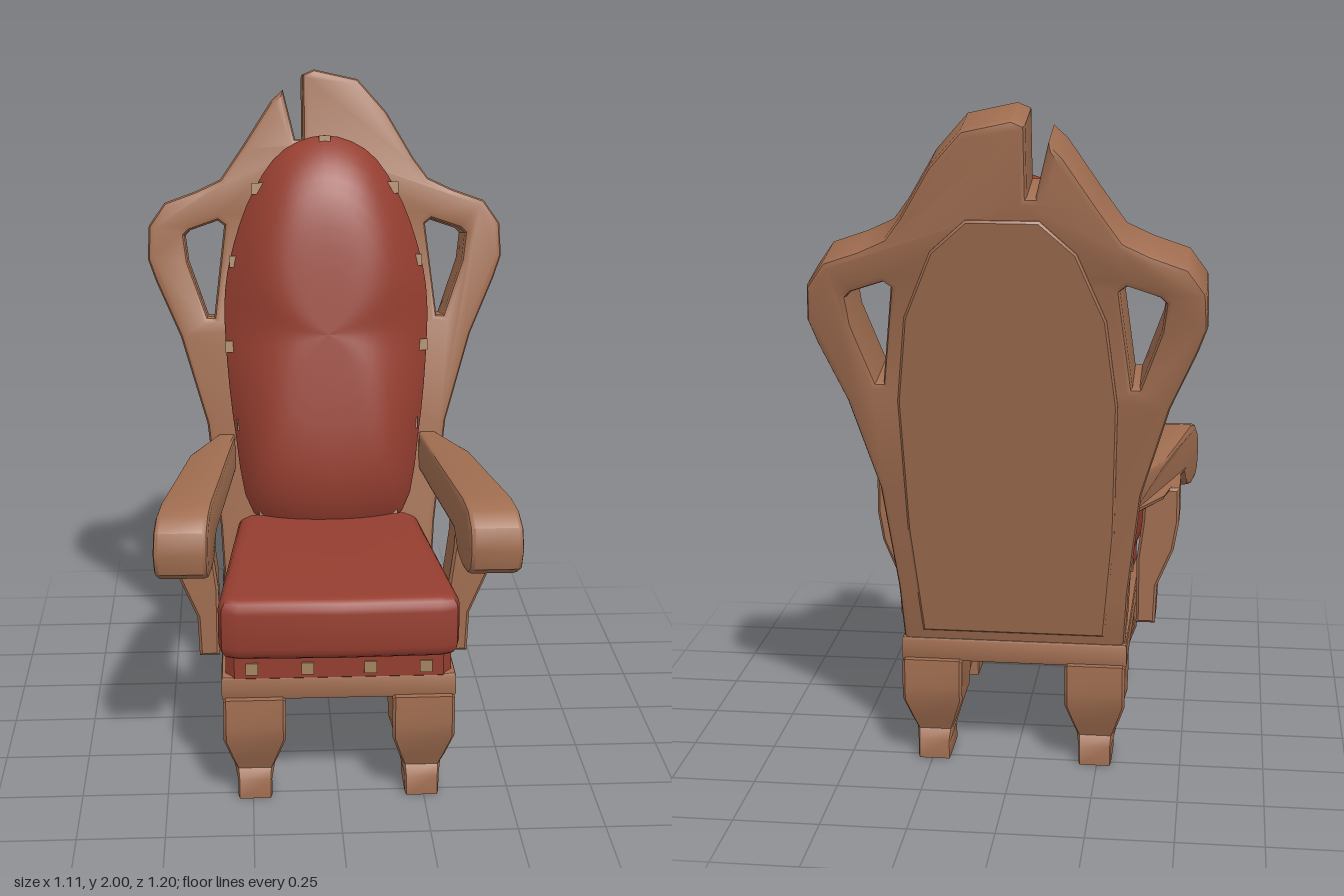
import * as THREE from 'three';
import { toCreasedNormals } from 'three/addons/utils/BufferGeometryUtils.js';

const material = (name, color) => {
  const m = new THREE.MeshStandardMaterial({ color });
  m.name = name;
  return m;
};
const vec = pts => pts.map(([a, b]) => new THREE.Vector2(a, b));

// Bevelled slab cut from an outline, centred on z = 0 with total thickness t
function slab(pts, t, bevel, segments = 3, holes = []) {
  const shape = new THREE.Shape(vec(pts));
  for (const h of holes) shape.holes.push(new THREE.Path(vec(h)));
  const depth = t - 2 * bevel;
  return new THREE.ExtrudeGeometry(shape, {
    depth, bevelThickness: bevel, bevelSize: bevel, bevelOffset: -bevel, bevelSegments: segments,
  }).translate(0, 0, -depth / 2);
}
const crease = (g, angle = 0.7) => toCreasedNormals(g, angle);

// Move every vertex by a rule
function bend(g, rule) {
  const p = g.attributes.position, v = new THREE.Vector3();
  for (let i = 0; i < p.count; i++) {
    v.fromBufferAttribute(p, i);
    rule(v);
    p.setXYZ(i, v.x, v.y, v.z);
  }
  return g;
}

const COS = 0.981;
const along = y => (y - 0.419) / COS; // height to distance along the leaning back
const lean = pts => pts.map(([x, y]) => [x, along(y)]);

// Half outline of the oval back cushion, from the top down
const oval = [[0, 1.8], [0.13, 1.755], [0.225, 1.63], [0.29, 1.46], [0.316, 1.32],
  [0.314, 1.15], [0.29, 0.9], [0.24, 0.65], [0.15, 0.585], [0, 0.56]];

// Padded dome built from shrinking rings of the oval
function backCushionGeometry() {
  const loop = [...oval, ...oval.slice(1, -1).reverse().map(([x, y]) => [-x, y])];
  const curve = new THREE.CatmullRomCurve3(loop.map(([x, y]) => new THREE.Vector3(x, along(y), 0)), true);
  const n = 56, rings = 14, cy = along(1.2), pos = [], idx = [];
  for (let i = 0; i <= rings; i++) {
    const r = i === 0 ? 1 : 1 - ((i - 1) / (rings - 1)) ** 1.6;
    for (let j = 0; j < n; j++) {
      const q = curve.getPoint(j / n), dx = q.x, dy = q.y - cy;
      const steep = 2.3 + 3.5 * (Math.abs(dy) / Math.hypot(dx, dy)) ** 2;
      const h = i === 0 ? -0.01 : 0.02 + 0.135 * (1 - r ** steep);
      pos.push(dx * r, cy + dy * r, h);
      if (i < rings) {
        const a = i * n + j, b = i * n + (j + 1) % n;
        idx.push(a, a + n, b, b, a + n, b + n);
      }
    }
  }
  const g = new THREE.BufferGeometry();
  g.setAttribute('position', new THREE.Float32BufferAttribute(pos, 3));
  g.setIndex(idx);
  g.computeVertexNormals();
  return g;
}

export function createModel() {
  const wood = material('wood', 0xa06d50);
  const red = material('red upholstery', 0x953e30);
  const brass = material('stud brass', 0xa4835f);
  const root = new THREE.Group();
  root.name = 'throneChair';
  const add = (parent, name, geo, mat, x = 0, y = 0, z = 0) => {
    const m = new THREE.Mesh(geo, mat);
    m.name = name;
    m.position.set(x, y, z);
    parent.add(m);
    return m;
  };

  // Leaning back: cracked crest and a tapered hole in each ear
  const back = new THREE.Group();
  back.name = 'back';
  back.position.set(0, 0.4, -0.19);
  back.rotation.x = -Math.atan(0.2);
  root.add(back);
  const outline = lean([[-0.33, 0.41], [0.33, 0.41], [0.34, 0.6], [0.377, 0.92], [0.456, 1.19],
    [0.53, 1.36], [0.555, 1.43], [0.55, 1.53], [0.5, 1.6], [0.4, 1.635], [0.325, 1.67], [0.28, 1.73],
    [0.196, 1.87], [0.106, 1.97], [-0.03, 2.0], [-0.066, 1.985], [-0.066, 1.79], [-0.09, 1.79],
    [-0.127, 1.94], [-0.165, 1.905], [-0.255, 1.77], [-0.325, 1.67], [-0.4, 1.635], [-0.5, 1.6],
    [-0.55, 1.53], [-0.555, 1.43], [-0.53, 1.36], [-0.456, 1.19], [-0.377, 0.92], [-0.34, 0.6]]);
  const hole = s => lean([[0.44, 1.5], [0.425, 1.515], [0.335, 1.545], [0.315, 1.53], [0.35, 1.25],
    [0.37, 1.25], [0.43, 1.42]].map(([x, y]) => [s * x, y]));
  add(back, 'backFrame', crease(slab(outline, 0.19, 0.018, 2, [hole(1), hole(-1)])), wood);
  const panel = [[0.27, 0.46], [0.3, 0.8], [0.31, 1.2], [0.28, 1.45], [0.2, 1.64], [0.1, 1.73]];
  const panelOutline = lean([...panel, ...panel.slice().reverse().map(([x, y]) => [-x, y])]);
  add(back, 'rearPanel', crease(slab(panelOutline, 0.018, 0.006, 1)), wood, 0, 0, -0.095);
  add(back, 'backCushion', backCushionGeometry(), red, 0, 0, 0.095);

  // Studs around the back cushion
  const studGeo = new THREE.BoxGeometry(0.036, 0.036, 0.05);
  for (const [x, y] of [[0, 1.78], [0.21, 1.64], [0.282, 1.42], [0.298, 1.16], [0.265, 0.92], [0.2, 0.65]])
    for (const s of x ? [1, -1] : [1]) add(back, 'backStud', studGeo, brass, s * x, along(y), 0.112);

  // Seat: frame, upholstered base and loose cushion, tapering to the rear
  const flat = (pts, t, bevel, seg) => crease(slab(pts, t, bevel, seg).rotateX(Math.PI / 2));
  add(root, 'seatFrame', flat([[-0.337, -0.29], [0.337, -0.29], [0.337, 0.55], [-0.337, 0.55]], 0.075, 0.01, 2),
    wood, 0, 0.358, 0);
  add(root, 'seatBase', flat([[-0.28, -0.14], [0.28, -0.14], [0.325, 0.52], [0.3, 0.55], [-0.3, 0.55],
    [-0.325, 0.52]], 0.13, 0.01, 1), red, 0, 0.445, 0);
  add(root, 'seatCushion', flat([[-0.25, -0.14], [0.25, -0.14], [0.285, 0.1 - 0.2], [0.344, 0.54],
    [0.335, 0.58], [0.29, 0.597], [0, 0.603], [-0.29, 0.597], [-0.335, 0.58], [-0.344, 0.54],
    [-0.285, -0.1]], 0.185, 0.04, 4), red, 0, 0.552, 0);
  const baseStud = new THREE.BoxGeometry(0.036, 0.036, 0.02);
  for (const x of [-0.25, -0.09, 0.09, 0.25]) add(root, 'frontStud', baseStud, brass, x, 0.42, 0.545);

  // Leg side profile (z, y), with a curved knee and a small foot
  const legProfile = [[0.57, 0.33], [0.574, 0.25], [0.568, 0.2], [0.535, 0.125], [0.52, 0.09], [0.538, 0.06],
    [0.538, 0], [0.39, 0], [0.39, 0.05], [0.42, 0.085], [0.415, 0.14], [0.398, 0.19], [0.36, 0.25], [0.35, 0.33]];
  const legGeo = crease(bend(slab(legProfile, 0.18, 0.008, 1).rotateY(-Math.PI / 2), v => {
    v.x *= THREE.MathUtils.lerp(0.55, 1, THREE.MathUtils.smoothstep(v.y, 0.07, 0.2));
    v.z -= 0.13;
  }));

  // Arm side profile (z, y), ending in a rolled front
  const armProfile = [[-0.19, 0.885], [-0.19, 0.765], [0, 0.757], [0.2, 0.755], [0.335, 0.752], [0.36, 0.725],
    [0.39, 0.695], [0.45, 0.68], [0.51, 0.685], [0.545, 0.71], [0.56, 0.77], [0.545, 0.835], [0.5, 0.872],
    [0.43, 0.887], [0.2, 0.885], [0, 0.885]];
  const armWidth = 0.15;
  const armGeo = s => {
    const g = slab(armProfile, armWidth, 0.015, 2).rotateY(-Math.PI / 2);
    return crease(bend(g, v => {
      const k = (v.z + 0.18) / 0.74;
      const inner = 0.29 + 0.08 * k;
      const outer = v.z < 0 ? 0.35 + (v.z + 0.18) * 0.44 : 0.43 + v.z * 0.17;
      v.x = s * inner + (s > 0 ? v.x + armWidth / 2 : v.x - armWidth / 2) / armWidth * (outer - inner);
    }));
  };

  // Curved arm post, front profile (x, y)
  const post = [[0.345, 0.325], [0.405, 0.325], [0.41, 0.45], [0.435, 0.51], [0.46, 0.57], [0.475, 0.66],
    [0.475, 0.77], [0.365, 0.77], [0.36, 0.66], [0.345, 0.54]];

  for (const s of [1, -1]) {
    const side = s > 0 ? 'left' : 'right';
    add(root, side + 'FrontLeg', legGeo, wood, s * 0.244, 0, 0.13);
    add(root, side + 'BackLeg', legGeo, wood, s * 0.244, 0, 0.13).rotation.y = Math.PI;
    add(root, side + 'Apron', new THREE.BoxGeometry(0.15, 0.135, 0.44), wood, s * 0.244, 0.2575, 0.13);
    add(root, side + 'Arm', armGeo(s), wood);
    const pts = s > 0 ? post : post.map(([x, y]) => [-x, y]);
    add(root, side + 'ArmPost', crease(slab(pts, 0.16, 0.008, 1)), wood, 0, 0, 0.167);
    for (const [x, z] of [[0.312, 0.37], [0.288, 0.02]])
      add(root, side + 'SeatStud', baseStud, brass, s * x, 0.42, z).rotation.y = Math.PI / 2;
  }
  return root;
}
